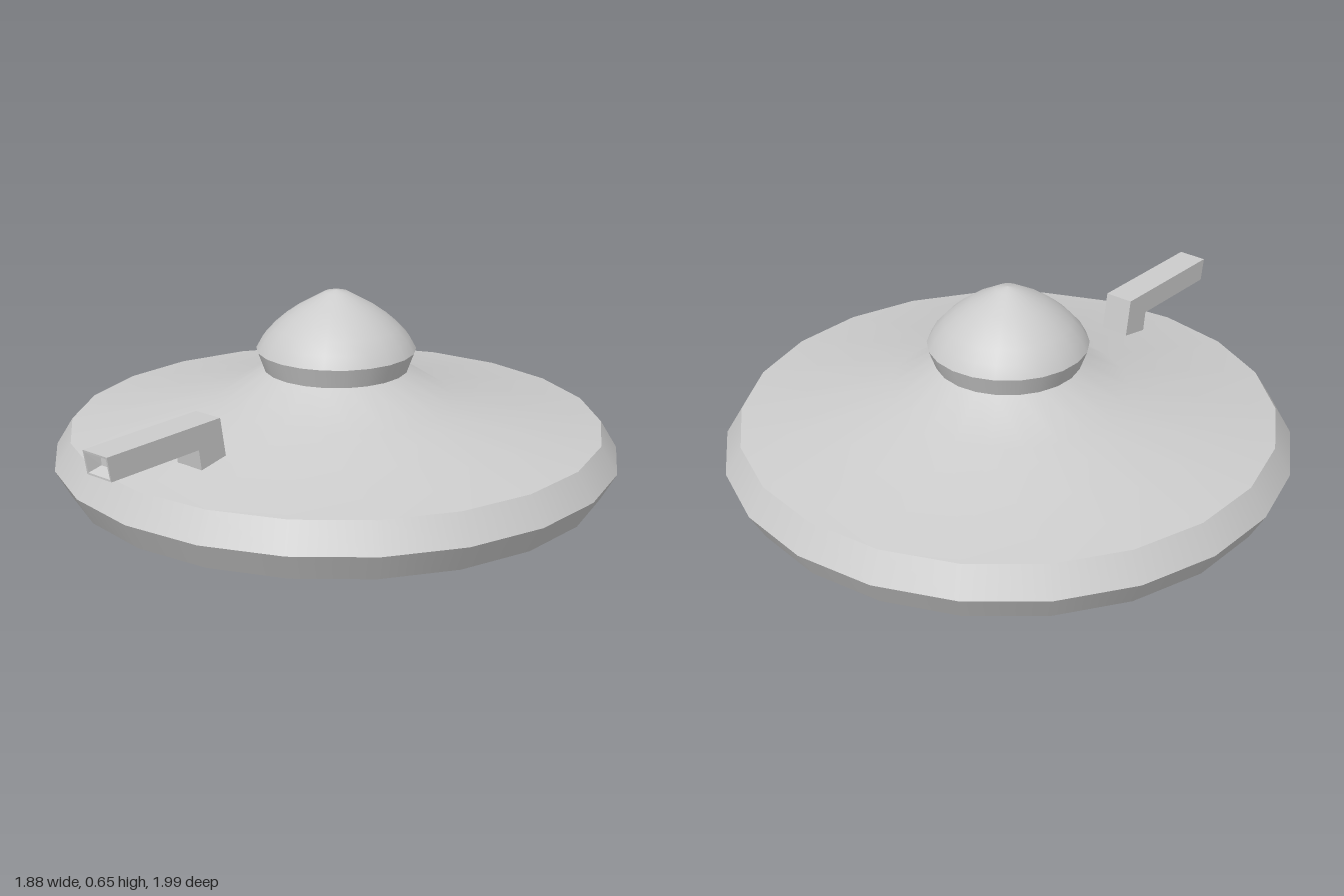
import * as THREE from 'three';

const SIDES = 22;
const AXIS_Z = -0.065;

export function createModel() {
  const model = new THREE.Group();
  const grey = new THREE.MeshStandardMaterial({ color: 0xcccccc, side: THREE.DoubleSide });
  const greyFlat = new THREE.MeshStandardMaterial({ color: 0xcccccc, side: THREE.DoubleSide, flatShading: true });

  const add = (parent, name, geometry, material = grey) => {
    const mesh = new THREE.Mesh(geometry, material);
    mesh.name = name;
    parent.add(mesh);
    return mesh;
  };

  // Saucer: one lathe per smooth band, so the rims between them stay sharp
  const saucer = new THREE.Group();
  saucer.name = 'saucer';
  saucer.position.z = AXIS_Z;
  model.add(saucer);
  const bands = {
    bayCeiling: [[0, 0.27], [0.2, 0.24], [0.4, 0.147]],
    bayWall: [[0.4, 0.147], [0.4, 0.018]],
    underside: [[0.4, 0.018], [0.89, 0.018]],
    lowerRim: [[0.89, 0.018], [0.94, 0.108]],
    upperRim: [[0.94, 0.108], [0.885, 0.198]],
    upperHull: [[0.885, 0.198], [0.4, 0.283], [0.24, 0.385]],
    domeCollar: [[0.24, 0.385], [0.264, 0.45]],
    dome: [[0.264, 0.45], [0.242, 0.49], [0.208, 0.527], [0.17, 0.56], [0.125, 0.592], [0.04, 0.64], [0, 0.648]],
  };
  for (const [name, profile] of Object.entries(bands)) {
    const points = profile.map(([r, y]) => new THREE.Vector2(r, y));
    add(saucer, name, new THREE.LatheGeometry(points, SIDES, Math.PI / 2));
  }

  // Small open ring under the hull
  const ring = add(model, 'undersideRing', new THREE.CylinderGeometry(0.045, 0.045, 0.02, 14, 1, true));
  ring.position.set(-0.73, 0.01, -0.06);

  // Bent arm standing on the hull; local +x runs forward along the arm
  const arm = new THREE.Group();
  arm.name = 'arm';
  arm.position.set(0.103, 0, 0.515);
  arm.rotation.y = -Math.PI / 2 + 0.168;
  model.add(arm);
  const width = 0.102;
  const joint = 0.41;
  const side = new THREE.Shape([
    [0, 0.248], [0.105, 0.228], [0.115, 0.297], [joint, 0.297], [joint, 0.375], [0.022, 0.375],
  ].map(([x, y]) => new THREE.Vector2(x, y)));
  const body = new THREE.ExtrudeGeometry(side, { depth: width, bevelEnabled: false });
  body.translate(0, 0, -width / 2);
  add(arm, 'armBody', body, greyFlat);

  // Hollow muzzle: outer sleeve, then a funnel narrowing back to a small floor
  const loop = (xLow, xHigh, low, high, half) => [
    [xLow, low, half], [xLow, low, -half], [xHigh, high, -half], [xHigh, high, half],
  ];
  const loops = [
    loop(joint, joint, 0.297, 0.375, width / 2),
    loop(0.466, 0.48, 0.297, 0.375, width / 2),
    loop(0.466, 0.479, 0.303, 0.369, width / 2 - 0.006),
    loop(0.43, 0.43, 0.319, 0.353, 0.03),
  ];
  const index = [];
  for (let i = 0; i < loops.length - 1; i++) {
    for (let j = 0; j < 4; j++) {
      const a = i * 4 + j, b = i * 4 + (j + 1) % 4;
      index.push(a, b, b + 4, a, b + 4, a + 4);
    }
  }
  index.push(12, 13, 14, 12, 14, 15);
  const muzzle = new THREE.BufferGeometry();
  muzzle.setAttribute('position', new THREE.Float32BufferAttribute(loops.flat(2), 3));
  muzzle.setIndex(index);
  const muzzleFlat = muzzle.toNonIndexed();
  muzzleFlat.computeVertexNormals();
  add(arm, 'armMuzzle', muzzleFlat, greyFlat);

  return model;
}
